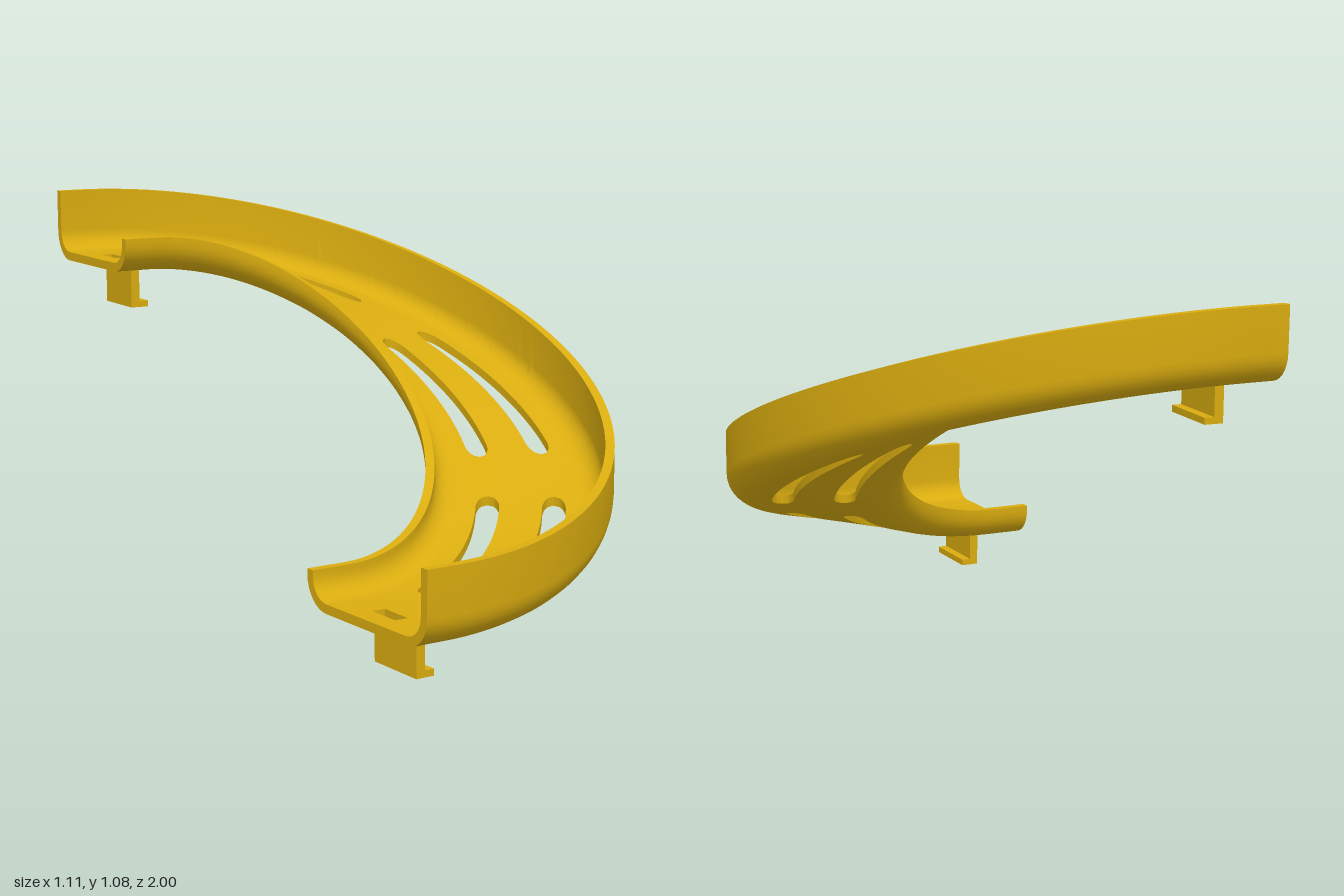
import * as THREE from 'three';
import { toCreasedNormals } from 'three/addons/utils/BufferGeometryUtils.js';

const CX = -0.45;      // x of the bend axis
const BASE = 0.12;     // underside of the floor at the low end
const RISE = 0.75;
const T = 0.025;       // sheet thickness
const DEG = Math.PI / 180;

// Point of the track: t < 0 and t > PI are the short straight ends
function place(t, r, h) {
  const c = Math.min(Math.max(t, 0), Math.PI);
  const skew = t < 0 ? 0.15 : 0.28;
  const extra = t < 0 ? -t : Math.max(0, t - Math.PI);
  const x = CX + r * Math.sin(c) - extra * (1.05 - skew * (r - 0.5) * 2);
  return [x, BASE + h + RISE * (1 - Math.cos(c)) / 2, r * Math.cos(c)];
}

// Half width of the three curved slots in each lane
function slotWidth(t) {
  let w = 0;
  for (const centre of [33.5, 90, 146.5]) {
    const d = Math.abs(t / DEG - centre);
    if (d < 21.5) w = 0.032 * Math.sqrt(1 - Math.max(0, (d - 17.5) / 4) ** 2);
  }
  return w;
}

// Quarter fillet from the floor (a = 0) up to the wall (a = 90 degrees)
function fillet(cr, radius, side) {
  return Array.from({ length: 9 }, (_, i) => {
    const a = i / 8 * Math.PI / 2;
    return [cr + side * radius * Math.sin(a), 0.085 - radius * Math.cos(a)];
  });
}

// Cross-section pieces, clockwise in (radius, height)
const innerLip = [
  ...fillet(0.575, 0.085, -1), [0.49, 0.1], [0.515, 0.1],
  ...fillet(0.575, 0.085 - T, -1).reverse(),
];
const outerWall = [
  ...fillet(0.915, 0.085 - T, 1), [0.975, 0.205], [1, 0.205],
  ...fillet(0.915, 0.085, 1).reverse(),
];

// Floor split into four strips at the lanes; the lanes open into slots and slits
const lanes = [0.66, 0.74, 0.84];
function strips(w) {
  const left = i => [[lanes[i] + w[i], 0], [lanes[i] + w[i], T]];
  const right = i => [[lanes[i] - w[i], T], [lanes[i] - w[i], 0]];
  return [
    [...innerLip, ...right(0)],
    [...left(0), ...right(1)],
    [...left(1), ...right(2)],
    [...left(2), ...outerWall],
  ];
}

function trackGeometry() {
  // Stations along the track; doubled ones make the square slit ends
  const stations = [];
  const add = (t, slit = 0) => {
    const s = slotWidth(t);
    const w = [s, slit, s];
    stations.push({ t, w, strips: strips(w) });
  };
  add(-0.1); add(-0.04); add(-0.04, 0.05); add(-0.002, 0.05); add(-0.002);
  const n = 360;
  for (let i = 0; i <= n; i++) add(i / n * Math.PI);
  const e = Math.PI;
  add(e + 0.002); add(e + 0.002, 0.05); add(e + 0.04, 0.05); add(e + 0.04); add(e + 0.1);

  const pos = [];
  const va = new THREE.Vector3(), vb = new THREE.Vector3(), vc = new THREE.Vector3();
  const tri = (a, b, c) => {
    va.fromArray(a); vb.fromArray(b); vc.fromArray(c);
    if (vb.sub(va).cross(vc.sub(va)).length() > 1e-9) pos.push(...a, ...b, ...c);
  };

  for (let i = 0; i + 1 < stations.length; i++) {
    const s0 = stations[i], s1 = stations[i + 1];
    s0.strips.forEach((p, k) => {
      const q = s1.strips[k];
      for (let j = 0; j < p.length; j++) {
        const m = (j + 1) % p.length;
        // a closed lane has no side walls
        const lane = lanes.findIndex((r, l) =>
          Math.abs(Math.abs(p[j][0] - r) - s0.w[l]) < 1e-6 && Math.abs(p[j][0] - p[m][0]) < 1e-6);
        if (lane >= 0 && s0.w[lane] === 0 && s1.w[lane] === 0) continue;
        const a = place(s0.t, ...p[j]), b = place(s0.t, ...p[m]);
        const c = place(s1.t, ...q[m]), d = place(s1.t, ...q[j]);
        tri(a, b, c);
        tri(a, c, d);
      }
    });
  }

  // End faces
  const outline = [...innerLip, ...outerWall].map(p => new THREE.Vector2(...p));
  const faces = THREE.ShapeUtils.triangulateShape(outline, []);
  for (const [t, sign] of [[-0.1, 1], [e + 0.1, -1]]) {
    for (const f of faces) {
      const [a, b, c] = f.map(i => outline[i]);
      const area = (b.x - a.x) * (c.y - a.y) - (b.y - a.y) * (c.x - a.x);
      const order = area * sign > 0 ? [a, b, c] : [a, c, b];
      tri(...order.map(p => place(t, p.x, p.y)));
    }
  }

  const g = new THREE.BufferGeometry();
  g.setAttribute('position', new THREE.Float32BufferAttribute(pos, 3));
  return toCreasedNormals(g, 35 * DEG);
}

// L-shaped hook that hangs below each end
function hookGeometry() {
  const s = new THREE.Shape([
    [-0.013, 0.125], [-0.013, 0], [0.04, 0], [0.04, 0.018], [0.013, 0.018], [0.013, 0.125],
  ].map(p => new THREE.Vector2(...p)));
  return new THREE.ExtrudeGeometry(s, { depth: 0.18, bevelEnabled: false }).translate(0, 0, -0.09);
}

export function createModel() {
  const group = new THREE.Group();
  const yellow = new THREE.MeshStandardMaterial({ color: 0xd9ac0f });
  yellow.name = 'golden yellow';

  const track = new THREE.Mesh(trackGeometry(), yellow);
  track.name = 'curvedTrack';
  group.add(track);

  const hook = hookGeometry();
  for (const [name, y, z, turn] of [['lowerHook', 0, 0.74, 0.02], ['upperHook', RISE, -0.74, -0.05]]) {
    const mesh = new THREE.Mesh(hook, yellow);
    mesh.name = name;
    mesh.position.set(-0.442, y, z);
    mesh.rotation.y = turn;
    group.add(mesh);
  }
  return group;
}
